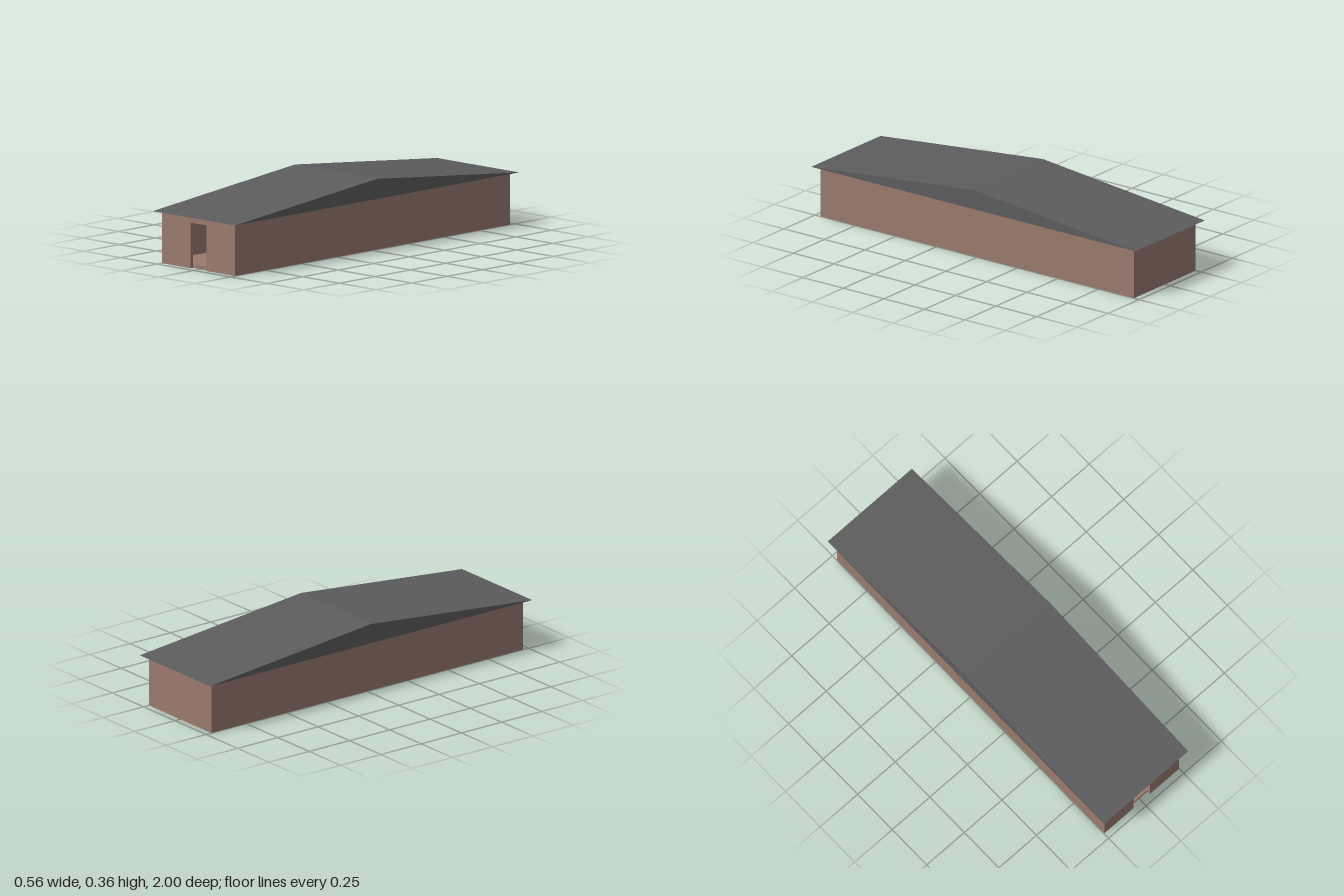
import * as THREE from 'three';

const W = 0.496, L = 1.934, H = 0.26;      // wall footprint and height
const T = 0.018, FLOOR = 0.016;            // wall and floor thickness
const DOOR_W = 0.109, DOOR_H = 0.227;
const ROOF_W = 0.56, ROOF_L = 2, RISE = 0.1;

export function createModel() {
  const building = new THREE.Group();
  building.name = 'longHouse';

  const brick = new THREE.MeshStandardMaterial({ color: 0x9a7a6e });
  brick.name = 'dusty brown wall';
  const slate = new THREE.MeshStandardMaterial({ color: 0x5d5d5f });
  slate.name = 'dark grey roof';

  const add = (name, geometry, material, x = 0, y = 0, z = 0) => {
    const mesh = new THREE.Mesh(geometry, material);
    mesh.name = name;
    mesh.position.set(x, y, z);
    building.add(mesh);
    return mesh;
  };

  // Side walls, back wall and floor slab
  const sideLength = L - 2 * T;
  for (const [name, s] of [['leftWall', 1], ['rightWall', -1]]) {
    add(name, new THREE.BoxGeometry(T, H, sideLength), brick, s * (W - T) / 2, H / 2, 0);
  }
  add('backWall', new THREE.BoxGeometry(W, H, T), brick, 0, H / 2, -(L - T) / 2);
  add('floor', new THREE.BoxGeometry(W - 2 * T, FLOOR, sideLength), brick, 0, FLOOR / 2, 0);

  // Front wall with an open doorway reaching the ground
  const w = W / 2, d = DOOR_W / 2;
  const outline = [[-w, 0], [-d, 0], [-d, DOOR_H], [d, DOOR_H], [d, 0], [w, 0], [w, H], [-w, H]];
  const wall = new THREE.Shape(outline.map(([x, y]) => new THREE.Vector2(x, y)));
  add('frontWall', new THREE.ExtrudeGeometry(wall, { depth: T, bevelEnabled: false }), brick, 0, 0, L / 2 - T);

  // Solid gable roof: ridge runs across x, slopes fall to front and back
  const gable = new THREE.Shape([
    new THREE.Vector2(-ROOF_L / 2, 0),
    new THREE.Vector2(ROOF_L / 2, 0),
    new THREE.Vector2(0, RISE),
  ]);
  const roof = new THREE.ExtrudeGeometry(gable, { depth: ROOF_W, bevelEnabled: false });
  roof.translate(0, 0, -ROOF_W / 2).rotateY(Math.PI / 2);
  add('roof', roof, slate, 0, H, 0);

  return building;
}
